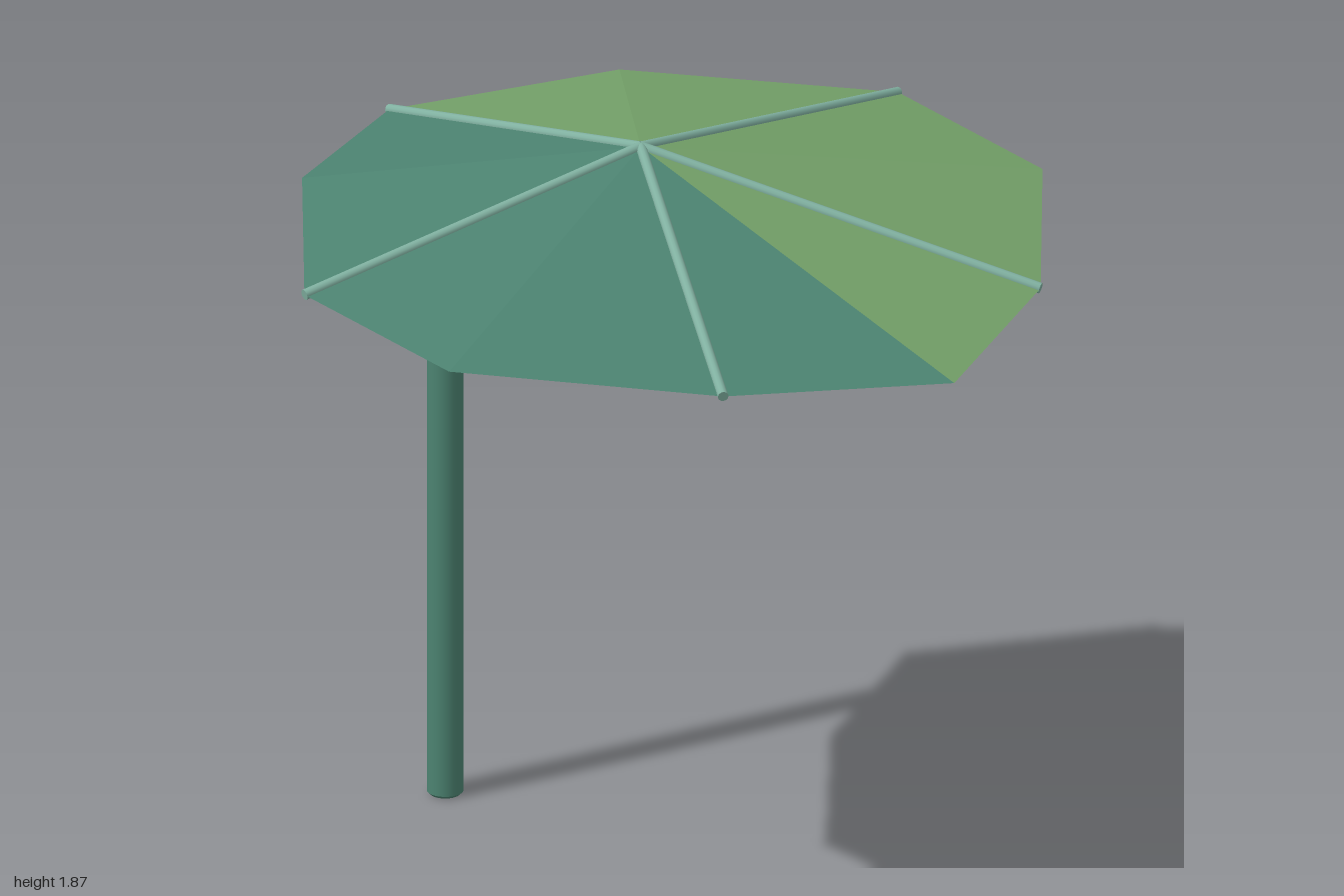
import * as THREE from 'three';

export function createModel() {
  const model = new THREE.Group();
  model.name = 'cantileverParasol';

  const teal = new THREE.MeshStandardMaterial({ color: 0x4c8371 });
  teal.name = 'teal';
  const green = new THREE.MeshStandardMaterial({ color: 0x73a068 });
  green.name = 'leaf green';
  const pale = new THREE.MeshStandardMaterial({ color: 0x80b0a0 });
  pale.name = 'pale teal';
  // Single-layer fabric shows from above and below
  for (const m of [teal, green]) {
    m.side = THREE.DoubleSide;
    m.flatShading = m === green;
  }
  const tealFabric = teal.clone();
  tealFabric.name = 'teal fabric';
  tealFabric.flatShading = true;

  const apex = [0, 1.855, -0.11];
  // Half of the rim, from back to front along +x
  const rim = [
    [0, 1.677, -0.997],
    [0.5, 1.718, -0.745],
    [0.935, 1.693, -0.25],
    [0.935, 1.655, 0.26],
    [0.5, 1.62, 0.74],
    [0, 1.595, 0.995],
  ];

  // Canopy: one fan of flat panels for each side
  function addCanopy(side, material, name) {
    const points = [];
    const flip = ([x, y, z]) => [x * side, y, z];
    for (let i = 0; i < rim.length - 1; i++) {
      const a = flip(rim[i]);
      const b = flip(rim[i + 1]);
      points.push(...apex, ...(side > 0 ? [...b, ...a] : [...a, ...b]));
    }
    const geometry = new THREE.BufferGeometry();
    geometry.setAttribute('position', new THREE.Float32BufferAttribute(points, 3));
    geometry.computeVertexNormals();
    const mesh = new THREE.Mesh(geometry, material);
    mesh.name = name;
    model.add(mesh);
  }
  addCanopy(1, green, 'leftCanopy');
  addCanopy(-1, tealFabric, 'rightCanopy');

  // Ribs running from the apex to alternate rim corners
  function addRib(end, name) {
    const from = new THREE.Vector3(...apex);
    const dir = new THREE.Vector3(...end).sub(from);
    const rib = new THREE.Mesh(new THREE.CylinderGeometry(0.013, 0.013, dir.length(), 12), pale);
    rib.position.copy(from).addScaledVector(dir, 0.5);
    rib.quaternion.setFromUnitVectors(new THREE.Vector3(0, 1, 0), dir.normalize());
    rib.name = name;
    model.add(rib);
  }
  addRib(rim[0], 'backRib');
  for (const side of [1, -1]) {
    const label = side > 0 ? 'left' : 'right';
    for (const [i, part] of [[2, 'SideRib'], [4, 'FrontRib']]) {
      const [x, y, z] = rim[i];
      addRib([x * side, y, z], label + part);
    }
  }

  // Offset pole with slightly eased ends
  const r = 0.043, h = 1.55, e = 0.007;
  const ring = (radius, y) => new THREE.Vector2(radius, y);
  const parts = [
    [[0, 0], [r - e, 0]],
    [[r - e, 0], [r, e]],
    [[r, e], [r, h - e]],
    [[r, h - e], [r - e, h]],
    [[r - e, h], [0, h]],
  ];
  const pole = new THREE.Group();
  pole.name = 'pole';
  const names = ['poleBase', 'lowerBevel', 'poleShaft', 'upperBevel', 'poleTop'];
  parts.forEach((profile, i) => {
    const mesh = new THREE.Mesh(new THREE.LatheGeometry(profile.map((p) => ring(...p)), 24), teal);
    mesh.name = names[i];
    pole.add(mesh);
  });
  pole.position.z = -0.8;
  model.add(pole);

  return model;
}
